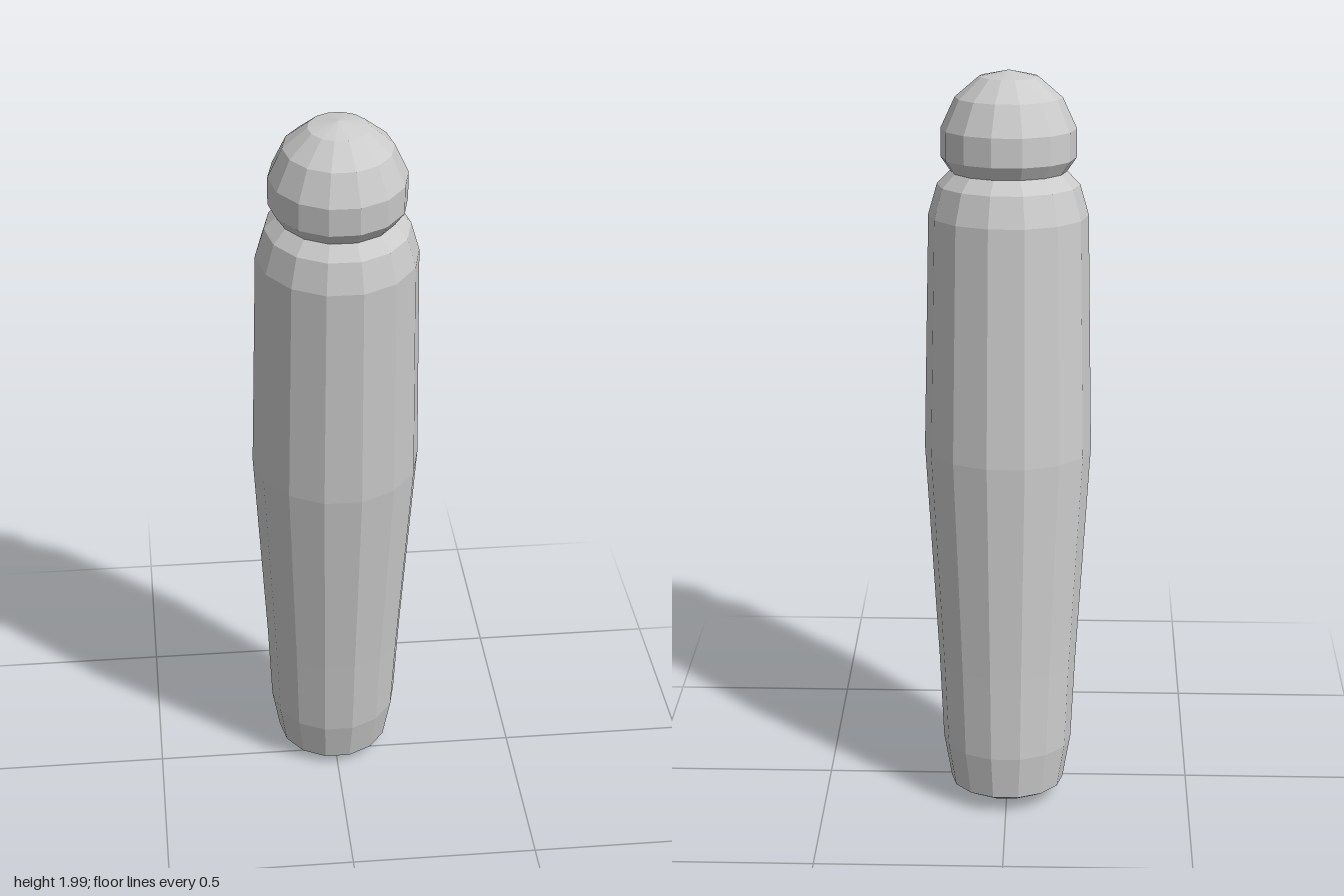
import * as THREE from 'three';

const SIDES = 14;

export function createModel() {
  const model = new THREE.Group();
  const peg = new THREE.Group();
  peg.name = 'tiltedPeg';
  const material = new THREE.MeshStandardMaterial({ color: 0xcccccc, flatShading: true });

  // Faceted turned part from [radius, height] pairs, bottom to top; corners lie on the x axis
  function turned(name, profile) {
    const points = profile.map(([r, y]) => new THREE.Vector2(r, y));
    const mesh = new THREE.Mesh(new THREE.LatheGeometry(points, SIDES, Math.PI / 2), material);
    mesh.name = name;
    peg.add(mesh);
  }

  // Tapered body: domed foot, widest halfway up, rounded shoulder into the neck groove
  turned('body', [
    [0, 0.004], [0.12, 0.026], [0.154, 0.044], [0.175, 0.165], [0.186, 0.4],
    [0.222, 1.0], [0.209, 1.63], [0.186, 1.71], [0.152, 1.745],
  ]);

  // Round knob on top
  turned('head', [
    [0.152, 1.745], [0.176, 1.78], [0.176, 1.855], [0.139, 1.935], [0.077, 1.988], [0, 2.005],
  ]);

  // Whole peg leans forward
  peg.rotation.x = 0.084;
  peg.position.z = -0.085;
  model.add(peg);
  return model;
}
